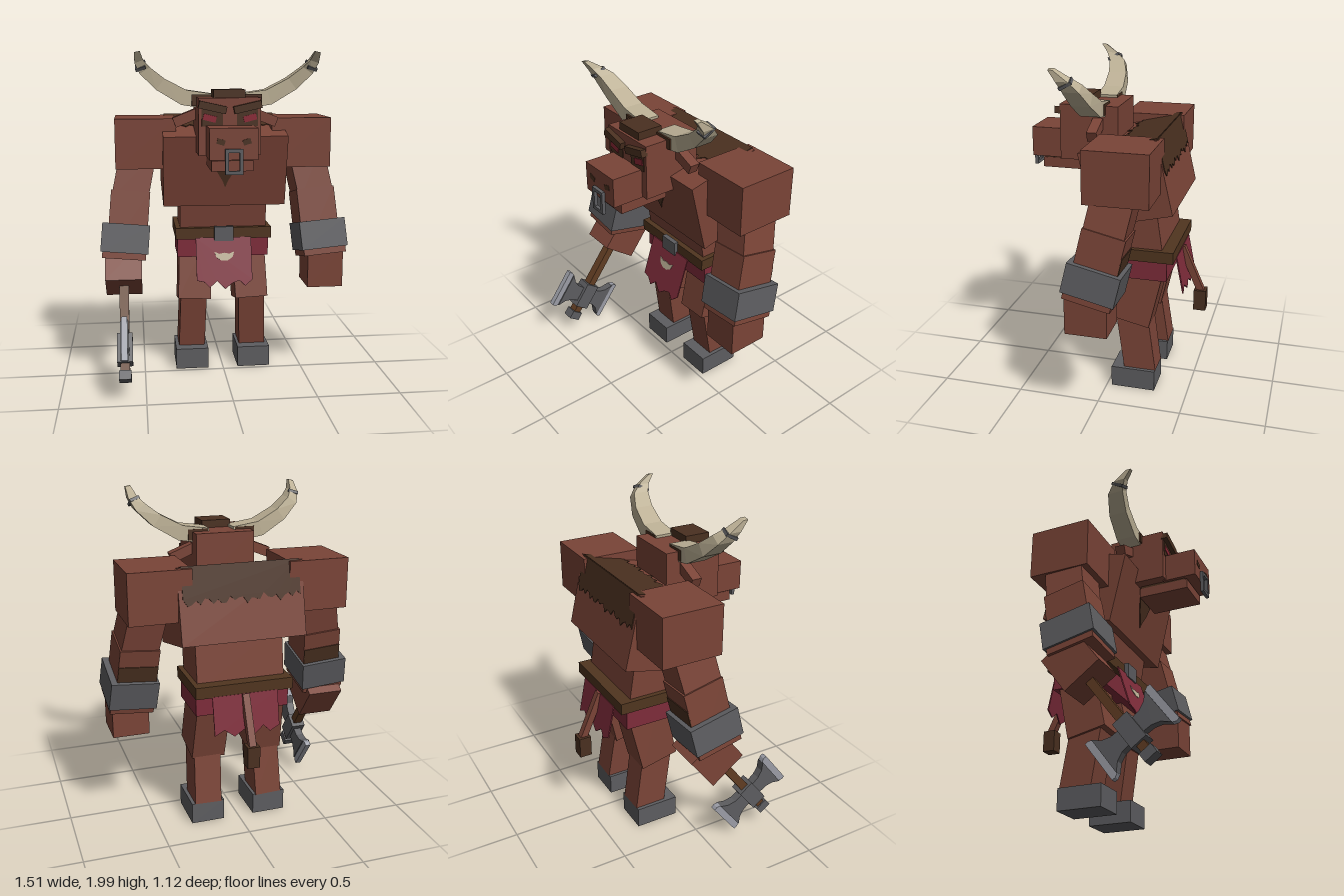
import * as THREE from 'three';

const material = (name, color) => Object.assign(new THREE.MeshStandardMaterial({ color }), { name });
const hide = material('hide', 0x7a4437);
const hair = material('hair', 0x4a3020);
const cloth = material('cloth', 0x7e2c3a);
const leather = material('leather', 0x50351f);
const iron = material('iron', 0x5d5d60);
const steel = material('steel', 0x9b9da6);
const horn = material('horn', 0xbcb095);
const wood = material('wood', 0x603c22);
const eyeRed = material('eyeRed', 0x8a2735);

function add(parent, name, geometry, mat, pos, rx = 0, rz = 0) {
  const mesh = new THREE.Mesh(geometry, mat);
  mesh.name = name;
  mesh.position.set(...pos);
  mesh.rotation.set(rx, 0, rz);
  parent.add(mesh);
  return mesh;
}
const box = (parent, name, mat, size, pos, rx, rz) =>
  add(parent, name, new THREE.BoxGeometry(...size), mat, pos, rx, rz);

function group(parent, name, pos, rx = 0, rz = 0) {
  const g = new THREE.Group();
  g.name = name;
  g.position.set(...pos);
  g.rotation.set(rx, 0, rz);
  parent.add(g);
  return g;
}

// Flat outline extruded to a thin plate centred on z
const plate = (points, depth = 0.008) =>
  new THREE.ExtrudeGeometry(new THREE.Shape(points.map(p => new THREE.Vector2(...p))),
    { depth, bevelEnabled: false }).translate(0, 0, -depth / 2);

// Rectangle hanging from y = 0 with a ragged lower edge
function ragged(halfWidth, drop, n) {
  const pts = [[-halfWidth, 0]];
  for (let i = 0; i <= n; i++) {
    pts.push([-halfWidth + 2 * halfWidth * i / n, -drop + 0.018 * Math.sin(i * 2.3) + 0.01 * Math.sin(i * 0.9)]);
  }
  pts.push([halfWidth, 0]);
  return plate(pts);
}

// Tapered square horn lofted through cross-sections [x, y, z, half height, half depth, tilt]
function hornGeometry(side) {
  const sections = [
    [0.08, 1.705, 0.10, 0.046, 0.063, 0.1], [0.25, 1.732, 0.10, 0.045, 0.061, 0.35],
    [0.385, 1.808, 0.11, 0.040, 0.056, 0.65], [0.472, 1.885, 0.135, 0.034, 0.048, 1.0],
    [0.505, 1.935, 0.175, 0.026, 0.034, 1.25], [0.515, 1.99, 0.235, 0.016, 0.014, 1.35]];
  const pos = [], index = [];
  for (const [x, y, z, h, d, a] of sections) {
    for (const [u, v] of [[-1, -1], [-1, 1], [1, 1], [1, -1]]) {
      pos.push(side * (x - u * h * Math.sin(a)), y + u * h * Math.cos(a), z + v * d);
    }
  }
  const quad = (a, b, c, d) => side > 0 ? index.push(a, b, c, a, c, d) : index.push(a, c, b, a, d, c);
  const last = (sections.length - 1) * 4;
  for (let i = 0; i < last; i += 4) {
    for (let k = 0; k < 4; k++) {
      const n = (k + 1) % 4;
      quad(i + k, i + 4 + k, i + 4 + n, i + n);
    }
  }
  quad(0, 1, 2, 3);
  quad(last + 3, last + 2, last + 1, last);
  const g = new THREE.BufferGeometry();
  g.setAttribute('position', new THREE.Float32BufferAttribute(pos, 3));
  g.setIndex(index);
  const flat = g.toNonIndexed();
  flat.computeVertexNormals();
  return flat;
}

function buildTorso(model) {
  const torso = group(model, 'torso', [0, 1.34, -0.13], 0.23);
  box(torso, 'chest', hide, [0.745, 0.44, 0.463], [0, 0, 0]);
  add(torso, 'maneTop', ragged(0.35, 0.245, 28), hair, [0, 0.221, -0.233], -Math.PI / 2);
  add(torso, 'maneBack', ragged(0.35, 0.2, 28), hair, [0, 0.222, -0.233]);
  add(torso, 'chestHair', plate([[-0.11, 0.16], [-0.05, 0], [-0.015, -0.06], [0, -0.1], [0.015, -0.06], [0.05, 0], [0.11, 0.16]]),
    hair, [0, 0, 0.233]);
  box(model, 'abdomen', hide, [0.535, 0.34, 0.29], [0, 1.03, -0.165], 0.15);
  box(model, 'hipWrap', cloth, [0.57, 0.125, 0.325], [0, 0.798, -0.1975]);
  box(model, 'belt', leather, [0.595, 0.07, 0.4], [0, 0.89, -0.2]);
  box(model, 'buckle', iron, [0.12, 0.09, 0.03], [0, 0.89, 0.01]);

  // Loincloth panels, the front one carrying a pale crescent
  const front = group(model, 'frontLoincloth', [0, 0.865, 0.006], -0.3);
  add(front, 'frontPanel', plate([[-0.175, 0], [-0.175, -0.265], [-0.13, -0.275], [-0.095, -0.31], [-0.05, -0.27], [0, -0.32],
    [0.045, -0.285], [0.09, -0.27], [0.125, -0.305], [0.17, -0.265], [0.17, 0]]), cloth, [0, 0, 0]);
  add(front, 'crescent', plate([[-0.062, 0.025], [-0.05, -0.01], [-0.02, -0.03], [0.02, -0.03], [0.05, -0.01], [0.062, 0.025],
    [0.03, 0.012], [0, 0.018], [-0.03, 0.012]], 0.004), horn, [0, -0.115, 0.006]);
  add(model, 'backLoincloth', plate([[-0.2, 0], [-0.2, -0.21], [-0.14, -0.24], [-0.1, -0.2], [-0.04, -0.25], [0.02, -0.21],
    [0.08, -0.245], [0.14, -0.2], [0.2, -0.23], [0.2, 0]]), cloth, [0, 0.86, -0.4], 0.2);

  box(model, 'tail', hide, [0.042, 0.31, 0.042], [0, 0.715, -0.462], 0.42);
  box(model, 'tailTuft', hair, [0.075, 0.13, 0.075], [0, 0.52, -0.522]);
}

function buildHead(model) {
  const head = group(model, 'head', [0, 0, 0]);
  box(head, 'skull', hide, [0.357, 0.325, 0.35], [0, 1.5725, 0.135]);
  box(head, 'snout', hide, [0.27, 0.175, 0.21], [0, 1.4925, 0.395]);
  box(head, 'mouth', hair, [0.23, 0.02, 0.29], [0, 1.4, 0.28]);
  box(head, 'jaw', hide, [0.235, 0.06, 0.31], [0, 1.365, 0.285]);
  box(head, 'foreheadTuft', hair, [0.18, 0.05, 0.155], [0, 1.755, 0.2175]);
  for (const s of [-1, 1]) {
    box(head, 'hornRoot', hair, [0.12, 0.065, 0.137], [s * 0.145, 1.717, 0.104]);
    add(head, 'horn', hornGeometry(s), horn, [0, 0, 0]);
    box(head, 'hornBand', iron, [0.06, 0.018, 0.08], [s * 0.496, 1.912, 0.162], 0.5, -s * 0.35);
    box(head, 'eyePatch', hair, [0.12, 0.11, 0.006], [s * 0.1, 1.632, 0.312]);
    box(head, 'eye', eyeRed, [0.075, 0.035, 0.006], [s * 0.115, 1.622, 0.316], 0, s * 0.25);
    box(head, 'brow', hair, [0.16, 0.042, 0.04], [s * 0.1, 1.683, 0.322], 0, s * 0.22);
    box(head, 'ear', hide, [0.15, 0.06, 0.06], [s * 0.235, 1.61, 0.08], 0, -s * 0.38);
    box(head, 'nostril', hair, [0.045, 0.03, 0.006], [s * 0.072, 1.505, 0.5], 0, s * 0.3);
    box(head, 'ringSide', iron, [0.02, 0.14, 0.02], [s * 0.04, 1.397, 0.512]);
  }
  for (const y of [1.457, 1.337]) box(head, 'ringBar', iron, [0.1, 0.02, 0.02], [0, y, 0.512]);
}

function buildLimbs(model) {
  for (const s of [-1, 1]) {
    box(model, 'shoulder', hide, [0.365, 0.3, 0.37], [s * 0.4725, 1.452, -0.149]);
    box(model, 'upperArm', hide, [0.22, 0.32, 0.235], [s * 0.545, 1.24, -0.11], -0.2, s * 0.2);
    const arm = group(model, 'forearmGroup', [s * 0.585, 0.95, -0.05], -0.22, s * 0.09);
    box(arm, 'forearm', hide, [0.235, 0.4, 0.25], [0, 0, 0]);
    box(arm, 'forearmHair', hair, [0.234, 0.1, 0.008], [0, 0.045, -0.126]);
    box(arm, 'armGuard', iron, [0.285, 0.175, 0.31], [s * 0.012, -0.09, 0]);
    box(arm, 'cuff', hide, [0.262, 0.05, 0.28], [s * 0.012, -0.19, 0]);

    box(model, 'thigh', hide, [0.205, 0.46, 0.24], [s * 0.172, 0.664, -0.188], -0.22, s * 0.04);
    box(model, 'shin', hide, [0.165, 0.38, 0.195], [s * 0.19, 0.3, -0.177], 0.15, s * 0.03);
    box(model, 'foot', iron, [0.205, 0.13, 0.27], [s * 0.197, 0.065, -0.165]);
  }
  box(model, 'leftHand', hide, [0.22, 0.24, 0.245], [0.62, 0.68, 0]);
  box(model, 'rightHand', hide, [0.22, 0.25, 0.245], [-0.62, 0.678, -0.014], -0.6435);
}

function buildAxe(model) {
  const axe = group(model, 'axe', [-0.62, 0.265, 0.3], -0.6435);
  box(axe, 'handle', wood, [0.056, 0.64, 0.05], [0, 0.14, 0]);
  box(axe, 'axeSocket', iron, [0.092, 0.175, 0.1], [0, 0, 0]);
  box(axe, 'pommel', iron, [0.072, 0.055, 0.08], [0, -0.16, 0]);
  // Each blade flares from the socket to a pale cutting edge
  const blade = [[0.04, -0.05], [0.1, -0.055], [0.145, -0.075], [0.185, -0.118], [0.185, 0.118], [0.145, 0.075], [0.1, 0.055], [0.04, 0.05]];
  const edge = [[0.183, -0.118], [0.205, -0.13], [0.226, -0.128], [0.226, 0.128], [0.205, 0.13], [0.183, 0.118]];
  for (const s of [-1, 1]) {
    const half = group(axe, 'axeBlade', [0, 0, 0]);
    half.rotation.y = s * Math.PI / 2;
    add(half, 'blade', plate(blade, 0.05), iron, [0, 0, 0]);
    add(half, 'cuttingEdge', plate(edge, 0.036), steel, [0, 0, 0]);
  }
}

export function createModel() {
  const model = new THREE.Group();
  model.name = 'hornedWarrior';
  buildTorso(model);
  buildHead(model);
  buildLimbs(model);
  buildAxe(model);
  return model;
}
